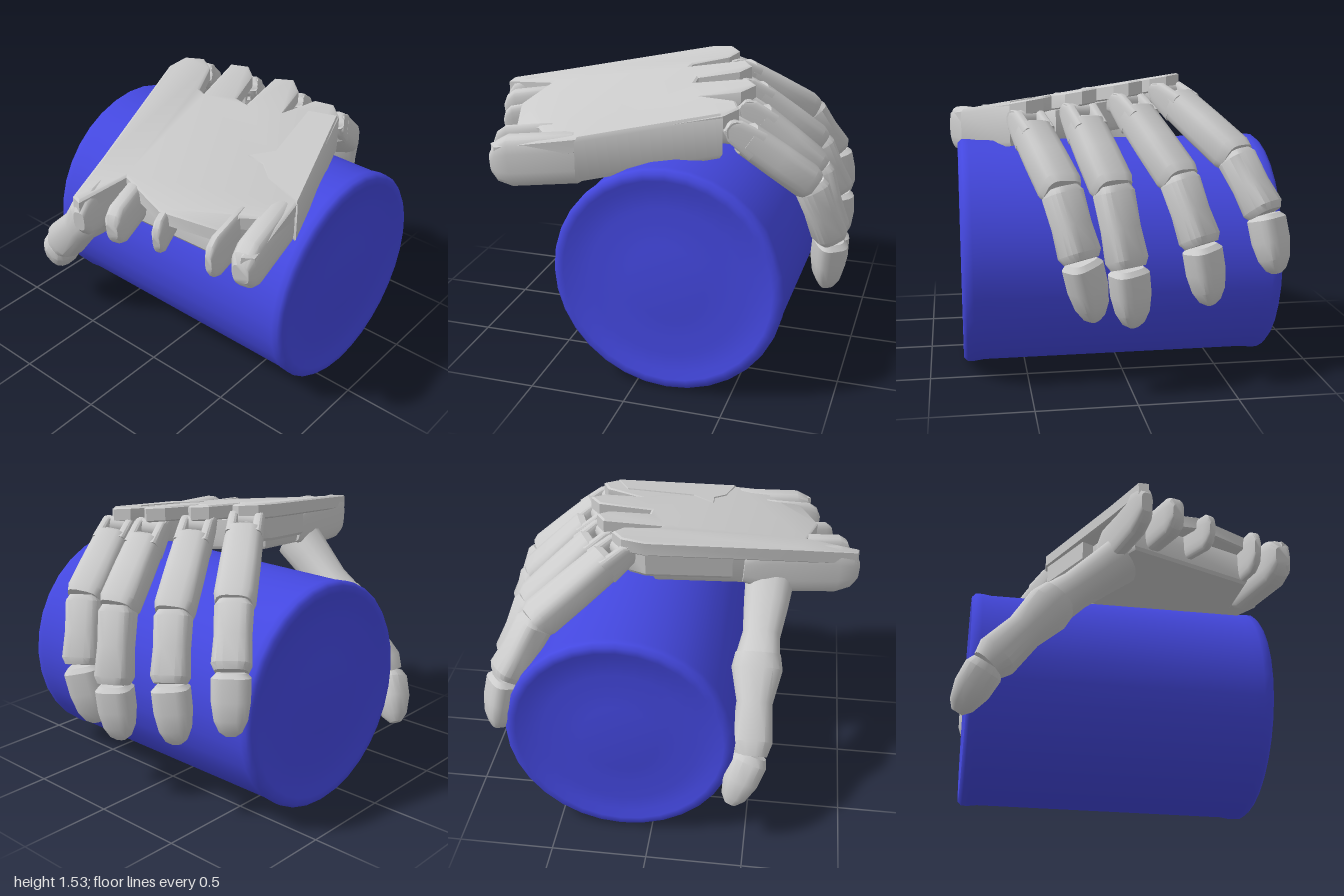
import * as THREE from 'three';
import { toCreasedNormals } from 'three/addons/utils/BufferGeometryUtils.js';

const grey = new THREE.MeshStandardMaterial({ color: 0xcccccc });
const blue = new THREE.MeshStandardMaterial({ color: 0x4448e0 });
const V = (p) => new THREE.Vector3(...p);

function add(parent, name, geometry, material = grey, crease = 0.6) {
  const mesh = new THREE.Mesh(toCreasedNormals(geometry, crease), material);
  mesh.name = name;
  parent.add(mesh);
  return mesh;
}

// Rounded-box loft from a to b; profile rows are [t, half width, half depth]
function loft(a, b, side, profile, sides = 16, power = 0.6) {
  const d = b.clone().sub(a), dir = d.clone().normalize();
  const w = side.clone().addScaledVector(dir, -side.dot(dir)).normalize();
  const n = dir.clone().cross(w);
  const pos = [], idx = [];
  const soft = (v) => Math.sign(v) * Math.pow(Math.abs(v), power);
  for (const [t, hw, hd] of profile) {
    const c = a.clone().addScaledVector(d, t);
    for (let j = 0; j < sides; j++) {
      const q = ((j + 0.5) / sides) * Math.PI * 2;
      const p = c.clone().addScaledVector(w, soft(Math.cos(q)) * hw).addScaledVector(n, soft(Math.sin(q)) * hd);
      pos.push(p.x, p.y, p.z);
    }
  }
  const rows = profile.length;
  for (let i = 0; i < rows - 1; i++) {
    for (let j = 0; j < sides; j++) {
      const p = i * sides + j, q = i * sides + ((j + 1) % sides);
      idx.push(p, q, p + sides, q, q + sides, p + sides);
    }
  }
  // End caps as fans
  const last = (rows - 1) * sides;
  for (let j = 1; j < sides - 1; j++) idx.push(0, j + 1, j, last, last + j, last + j + 1);
  const g = new THREE.BufferGeometry();
  g.setAttribute('position', new THREE.Float32BufferAttribute(pos, 3));
  g.setIndex(idx);
  return g;
}

// Tilted plane of the back of the hand
const backOfHand = (x, z) => 1.462 + 0.11 * x - 0.16 * z;

// Plate with an x-z outline that hangs below the back of the hand
function slab(outline, drop, thickness) {
  const shape = new THREE.Shape(outline.map(([x, z]) => new THREE.Vector2(x, z)));
  const g = new THREE.ExtrudeGeometry(shape, {
    depth: 0.8, bevelThickness: 0.1, bevelSize: 0.012, bevelOffset: -0.012, bevelSegments: 1,
  });
  const p = g.attributes.position;
  for (let i = 0; i < p.count; i++) {
    const x = p.getX(i), z = p.getY(i), t = p.getZ(i) + 0.1;
    p.setXYZ(i, x, backOfHand(x, z) - drop - t * thickness, z);
  }
  g.computeVertexNormals();
  return g;
}

const BONE = [[0, 0.07, 0.06], [0.06, 0.095, 0.085], [0.5, 0.1, 0.09], [0.93, 0.102, 0.092], [1.02, 0.09, 0.08]];
const MIDDLE = [[-0.04, 0.075, 0.07], [0.05, 0.094, 0.085], [0.5, 0.09, 0.08], [0.9, 0.097, 0.088], [1, 0.08, 0.07]];
const TIP = [[0, 0.07, 0.06], [0.08, 0.095, 0.08], [0.45, 0.094, 0.08], [0.75, 0.08, 0.065], [0.93, 0.055, 0.04], [1, 0.025, 0.02]];

function finger(name, points) {
  const g = new THREE.Group();
  g.name = name;
  const [k, j1, j2, tip] = points.map(V);
  const reach = tip.clone().sub(k);
  const side = new THREE.Vector3(-reach.z, 0, reach.x).normalize();
  const dir = j1.clone().sub(k).normalize();

  // Knuckle pin, central tongue and two fork arms
  const pin = add(g, 'knucklePin', new THREE.CylinderGeometry(0.05, 0.05, 0.17, 14));
  pin.position.copy(k);
  pin.quaternion.setFromUnitVectors(new THREE.Vector3(0, 1, 0), side);
  const back = k.clone().addScaledVector(new THREE.Vector3(reach.x, 0, reach.z).normalize(), -0.12);
  add(g, 'knuckleTongue', loft(back, k.clone().addScaledVector(dir, 0.05), side, [[0, 0.03, 0.06], [0.8, 0.03, 0.06], [1, 0.03, 0.035]]));
  for (const s of [-1, 1]) {
    const o = k.clone().addScaledVector(side, s * 0.065);
    add(g, 'knuckleFork', loft(o.clone().addScaledVector(dir, -0.045), o.clone().addScaledVector(dir, 0.14), side,
      [[0, 0.026, 0.03], [0.25, 0.028, 0.062], [1, 0.03, 0.08]]));
  }
  add(g, 'fingerBase', loft(k.clone().addScaledVector(dir, 0.07), j1, side, BONE));
  add(g, 'fingerMiddle', loft(j1, j2, side, MIDDLE));
  add(g, 'fingerTip', loft(j2, tip, side, TIP));
  return g;
}

export function createModel() {
  const model = new THREE.Group();
  model.name = 'handHoldingCan';

  // Can lying along z, with rolled rims and shallow rings in both ends
  const end = [[0, 0.785], [0.2, 0.79], [0.3, 0.778], [0.4, 0.79], [0.5, 0.785], [0.54, 0.805], [0.575, 0.805], [0.594, 0.785], [0.595, 0.75], [0.588, 0.7]];
  const profile = [
    ...end.map(([r, h]) => new THREE.Vector2(r, -h)),
    ...end.slice().reverse().map(([r, h]) => new THREE.Vector2(r, h)),
  ];
  const can = add(model, 'can', new THREE.LatheGeometry(profile, 32), blue, 0.9);
  can.rotation.x = Math.PI / 2;
  can.position.set(0.165, 0.603, 0.02);

  const palm = new THREE.Group();
  palm.name = 'palm';
  model.add(palm);

  // Back plate with four knuckle lobes and an open wrist edge
  add(palm, 'backPlate', slab([
    [-1, 0.04], [-0.99, -0.01], [-0.7, -0.1], [0.08, -0.36], [0.2, -0.35], [0.26, -0.27], [0.22, -0.19],
    [0.04, -0.11], [0.03, -0.07], [0.33, -0.13], [0.38, -0.05], [0.33, 0.02], [0.12, 0.08], [0.12, 0.15],
    [0.4, 0.12], [0.46, 0.2], [0.4, 0.28], [0.2, 0.33], [0.4, 0.39], [0.44, 0.48], [0.38, 0.56],
    [-0.3, 0.79], [-0.7, 0.86], [-0.74, 0.81], [-0.5, 0.71], [-0.55, 0.65], [-0.68, 0.63], [-0.78, 0.35], [-0.72, 0.08],
  ], 0, 0.08));
  add(palm, 'palmBody', slab([
    [-0.72, 0.02], [-0.45, -0.1], [0.05, -0.27], [0.1, -0.1], [0.12, 0.3], [-0.25, 0.66], [-0.6, 0.65],
  ], 0.07, 0.18));

  // Raised blocks behind the outer fingers
  add(palm, 'frontKnuckleBlock', slab([
    [-0.2, 0.4], [-0.07, 0.48], [0.3, 0.41], [0.38, 0.56], [-0.3, 0.8], [-0.26, 0.58], [-0.2, 0.5],
  ], -0.006, 0.23));
  add(palm, 'rearKnuckleBlock', slab([
    [-0.35, -0.2], [0.08, -0.35], [0.18, -0.32], [0.1, -0.18], [-0.3, -0.05],
  ], 0.05, 0.15));

  // Rounded wrist cuffs and small lugs: [from, to, half width, half height]
  const wristParts = [
    ['rearCuff', [-1, 1.23, 0.03], [-0.4, 1.27, -0.1], 0.05, 0.13],
    ['frontCuff', [-0.74, 1.15, 0.81], [-0.22, 1.19, 0.7], 0.07, 0.13],
    ['wristLug', [-0.79, 1.16, 0.66], [-0.4, 1.2, 0.6], 0.03, 0.12],
    ['wristLug', [-0.95, 1.22, 0.2], [-0.6, 1.26, 0.1], 0.05, 0.11],
    ['wristLug', [-0.86, 1.2, 0.4], [-0.6, 1.24, 0.3], 0.03, 0.1],
  ];
  for (const [name, from, to, hw, hh] of wristParts) {
    const a = V(from), b = V(to);
    const side = new THREE.Vector3(a.z - b.z, 0, b.x - a.x);
    add(palm, name, loft(a, b, side, [[0, hw * 0.6, hh * 0.4], [0.06, hw * 0.9, hh * 0.78], [0.18, hw, hh], [0.8, hw, hh], [1, hw * 0.7, hh * 0.6]]));
  }

  // Four fingers: knuckle, two joints and tip
  const fingers = [
    ['firstFinger', [0.4, 1.33, 0.48], [0.78, 1.03, 0.34], [0.89, 0.71, 0.26], [0.86, 0.4, 0.19]],
    ['secondFinger', [0.41, 1.36, 0.21], [0.77, 1.03, 0.09], [0.87, 0.66, 0.03], [0.86, 0.36, 0.0]],
    ['thirdFinger', [0.33, 1.4, -0.05], [0.71, 1.06, -0.25], [0.83, 0.75, -0.34], [0.84, 0.45, -0.39]],
    ['fourthFinger', [0.21, 1.44, -0.28], [0.61, 1.15, -0.56], [0.76, 0.88, -0.68], [0.82, 0.59, -0.73]],
  ];
  for (const [name, ...points] of fingers) model.add(finger(name, points));

  // Thumb reaching down the far side of the can
  const thumb = new THREE.Group();
  thumb.name = 'thumb';
  model.add(thumb);
  const X = new THREE.Vector3(1, 0, 0);
  const [t0, t1, t2, t3] = [[-0.54, 1.16, -0.02], [-0.51, 0.88, -0.37], [-0.51, 0.5, -0.7], [-0.42, 0.28, -0.83]].map(V);
  add(thumb, 'thumbBase', loft(t0, t1, X, [[0, 0.13, 0.12], [0.3, 0.12, 0.11], [0.7, 0.1, 0.1], [1.02, 0.12, 0.11]], 16, 0.8));
  add(thumb, 'thumbMiddle', loft(t1, t2, X, [[-0.06, 0.12, 0.11], [0.1, 0.135, 0.125], [0.45, 0.095, 0.1], [0.85, 0.11, 0.115], [1, 0.085, 0.085]], 16, 0.8));
  add(thumb, 'thumbTip', loft(t2, t3, X, [[-0.05, 0.08, 0.08], [0.1, 0.1, 0.1], [0.5, 0.095, 0.095], [0.85, 0.065, 0.065], [1, 0.03, 0.03]], 16, 0.8));

  return model;
}
